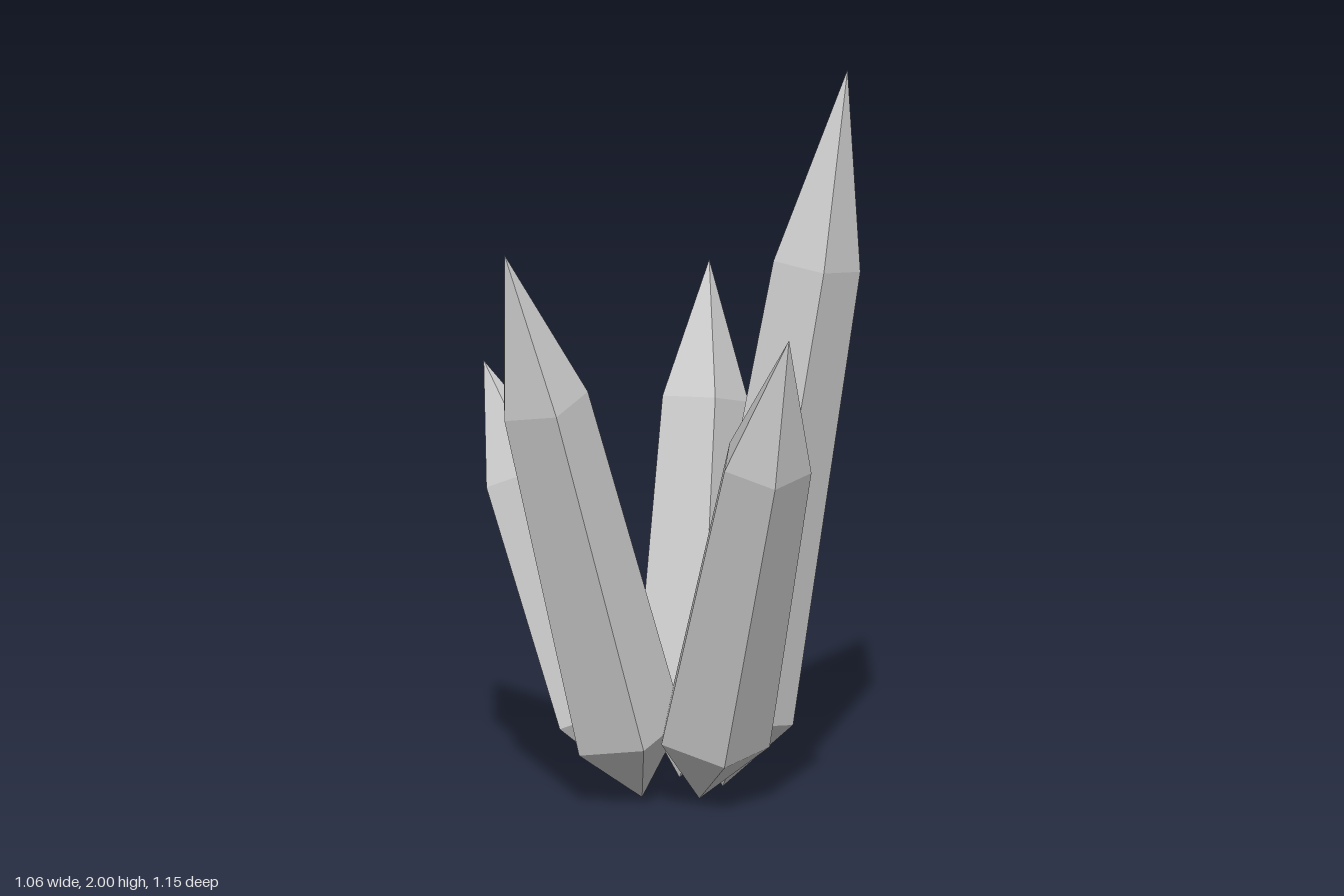
import * as THREE from 'three';

const SIDES = 5;
const BASE_RADIUS = 0.162;     // ring just above the lower point
const SHOULDER_RADIUS = 0.13;  // ring where the upper point begins
const BASE_HEIGHT = 0.205;
const SHOULDER = 0.73;         // shoulder position as a share of the length

// Feet stand on a small circle; each crystal leans outward to its tip.
const CENTER = [0.018, -0.07];
const FOOT_RADIUS = 0.134;
const CRYSTALS = [
  { name: 'tallCrystal', tip: [0.503, 2.0, -0.072], twist: 0 },
  { name: 'frontCrystal', tip: [0.2, 1.4, 0.57], twist: -2 },
  { name: 'sideCrystal', tip: [-0.53, 1.605, 0.258], twist: -5 },
  { name: 'shortCrystal', tip: [-0.425, 1.13, -0.497], twist: -7 },
  { name: 'backCrystal', tip: [0.223, 1.365, -0.57], twist: -4.5 },
];

// Tapered five-sided shaft with a point at both ends
function crystalGeometry(length, twist) {
  const profile = [
    [0, 0],
    [BASE_RADIUS, BASE_HEIGHT],
    [SHOULDER_RADIUS, length * SHOULDER],
    [0, length],
  ].map(([r, y]) => new THREE.Vector2(r, y));
  return new THREE.LatheGeometry(profile, SIDES).rotateY(-THREE.MathUtils.degToRad(twist));
}

export function createModel() {
  const group = new THREE.Group();
  group.name = 'crystalCluster';
  const material = new THREE.MeshStandardMaterial({ color: 0xcccccc, flatShading: true });
  const up = new THREE.Vector3(0, 1, 0);

  CRYSTALS.forEach(({ name, tip, twist }, i) => {
    const a = (i / CRYSTALS.length) * Math.PI * 2;
    const foot = new THREE.Vector3(
      CENTER[0] + FOOT_RADIUS * Math.cos(a), 0, CENTER[1] + FOOT_RADIUS * Math.sin(a));
    const axis = new THREE.Vector3(...tip).sub(foot);
    const mesh = new THREE.Mesh(crystalGeometry(axis.length(), twist), material);
    mesh.name = name;
    mesh.position.copy(foot);
    mesh.quaternion.setFromUnitVectors(up, axis.normalize());
    group.add(mesh);
  });
  return group;
}
